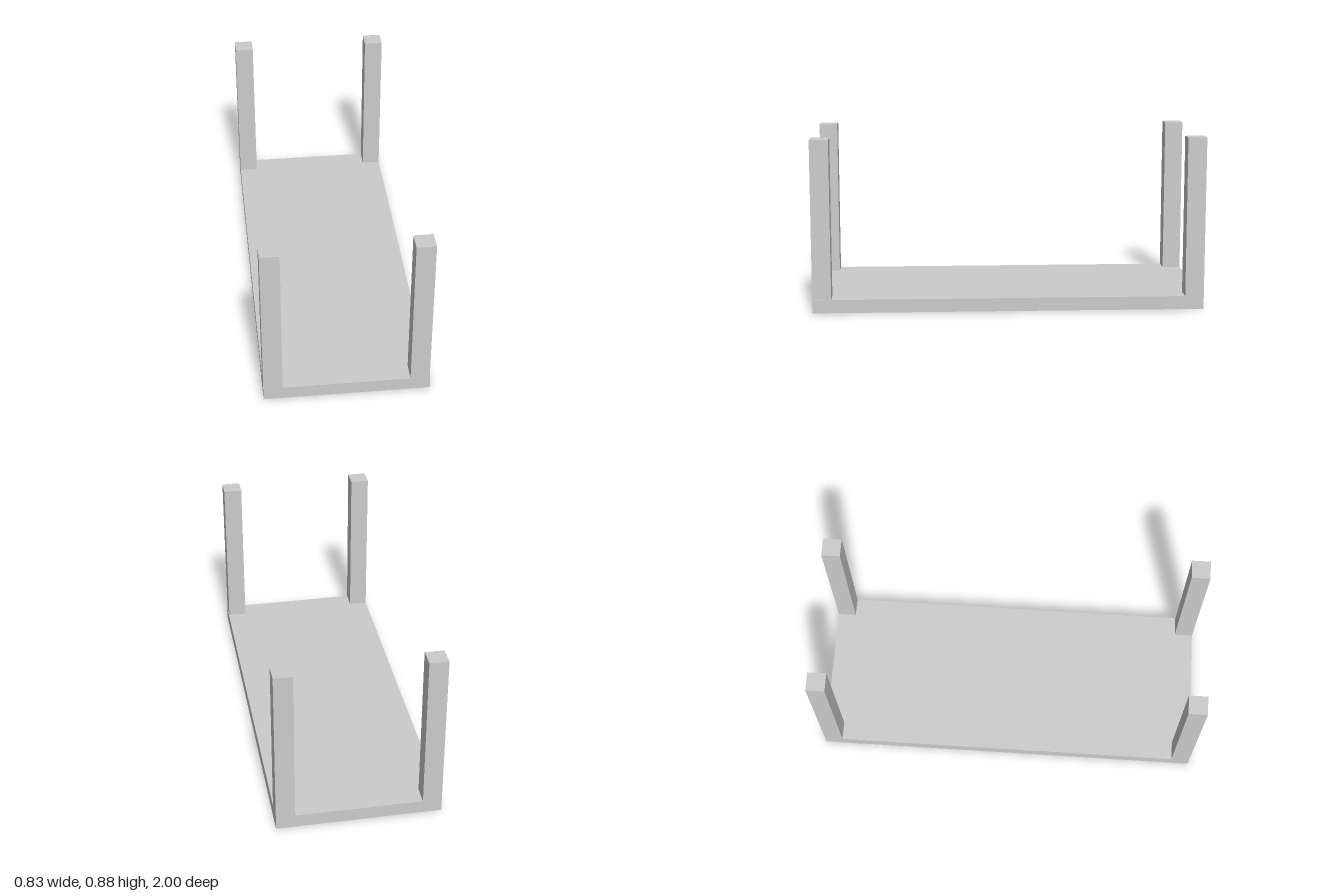
import * as THREE from 'three';

// Upside-down table: slab on the ground, four square legs pointing up
export function createModel() {
  const model = new THREE.Group();
  model.name = 'upturnedTable';
  const material = new THREE.MeshStandardMaterial({ color: 0xcccccc, flatShading: true });

  const width = 0.83, depth = 2, height = 0.885, slab = 0.068, leg = 0.096;

  function addBox(name, w, h, d, x, bottom, z) {
    const mesh = new THREE.Mesh(new THREE.BoxGeometry(w, h, d), material);
    mesh.name = name;
    mesh.position.set(x, bottom + h / 2, z);
    model.add(mesh);
  }

  // Table top
  addBox('tableTop', width, slab, depth, 0, 0, 0);

  // Legs, flush with the corners; the front left one sits slightly inward
  for (const [sideX, nameX] of [[1, 'Left'], [-1, 'Right']]) {
    for (const [sideZ, nameZ] of [[1, 'front'], [-1, 'back']]) {
      const inset = sideX > 0 && sideZ > 0 ? 0.003 : 0;
      addBox(`${nameZ}${nameX}Leg`, leg, height - slab, leg,
        sideX * (width - leg) / 2 - inset, slab, sideZ * (depth - leg) / 2);
    }
  }
  return model;
}
